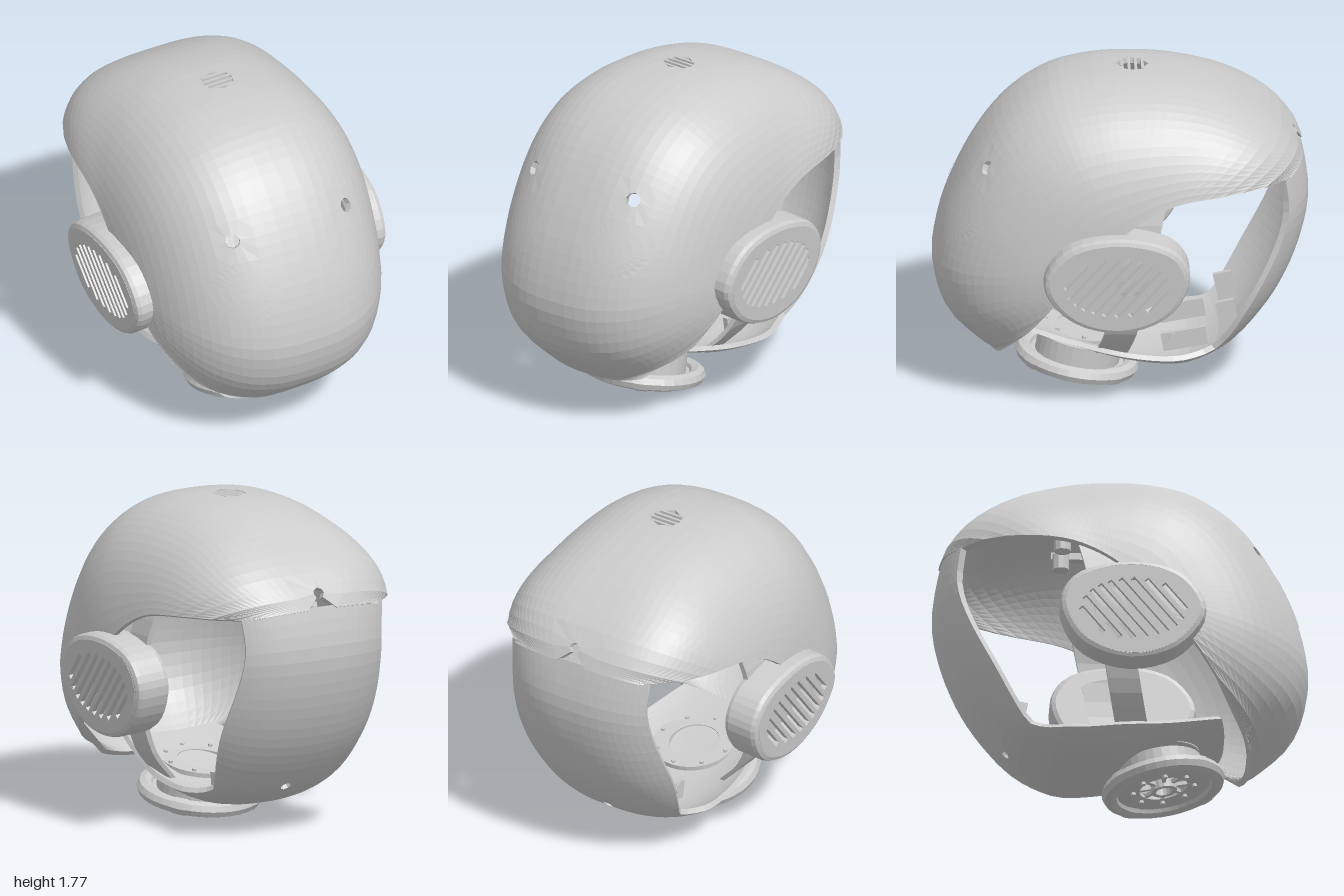
import * as THREE from 'three';

const MAT = new THREE.MeshStandardMaterial({ color: 0xcccccc, flatShading: true });
const CY = 0.9, W = 0.7; // centre height and half width of the head

function add(parent, name, geometry, x = 0, y = 0, z = 0) {
  const m = new THREE.Mesh(geometry, MAT);
  m.name = name;
  m.position.set(x, y, z);
  parent.add(m);
  return m;
}

// Turns a (z, y) outline into radius as a function of angle round the head centre
function polar(points, from) {
  const curve = new THREE.SplineCurve(points.map(([z, y]) => new THREE.Vector2(z, y - CY)));
  const table = curve.getPoints(300).map(p => {
    let a = Math.atan2(p.y, p.x);
    if (a < from) a += 2 * Math.PI;
    return [a, p.length()];
  }).sort((a, b) => a[0] - b[0]);
  return t => {
    let i = 1;
    while (i < table.length - 1 && table[i][0] < t) i++;
    const [a0, r0] = table[i - 1], [a1, r1] = table[i];
    return THREE.MathUtils.lerp(r0, r1, THREE.MathUtils.clamp((t - a0) / (a1 - a0 || 1), 0, 1));
  };
}

// Side outlines and the cut edges of the two shells
const faceR = polar([[0.69, 0.21], [0.92, 0.42], [1, 0.64], [0.99, 0.83], [0.92, 1.07], [0.785, 1.34], [0.62, 1.55],
  [0.41, 1.695], [0.195, 1.755], [-0.02, 1.77], [-0.29, 1.75], [-0.555, 1.67], [-0.8, 1.52], [-0.93, 1.38], [-0.975, 1.27]], -1);
const faceCut = polar([[0.69, 0.21], [0.38, 0.64], [0.18, 0.86], [-0.02, 1.08], [-0.26, 1.215], [-0.555, 1.26], [-0.9, 1.27]], -1);
const rearR = polar([[-0.96, 1.3], [-0.995, 1.07], [-0.96, 0.855], [-0.88, 0.64], [-0.77, 0.455], [-0.61, 0.27],
  [-0.45, 0.17], [-0.29, 0.13], [-0.02, 0.16], [0.25, 0.24], [0.57, 0.35]], 1);
const rearCut = polar([[-0.86, 1.275], [-0.88, 1.07], [-0.82, 0.855], [-0.69, 0.59], [-0.53, 0.32], [-0.42, 0.25],
  [-0.23, 0.235], [-0.02, 0.255], [0.25, 0.3], [0.54, 0.37]], 1);

// Superellipse cross-section: squarer towards the upper back
const power = t => 2.55 + 0.65 * Math.exp(-(((t - 2.5) / 0.33) ** 2));
const place = (R, t, x, c) => new THREE.Vector3(x, CY + R(t) * Math.sin(t) * c, R(t) * Math.cos(t) * c);
function surface(R, t, x) {
  const n = power(t);
  return place(R, t, x, (1 - Math.abs(x / W) ** n) ** (1 / n));
}
function frontPoint(x, y) {
  let lo = -0.7, hi = 1.5;
  for (let i = 0; i < 30; i++) {
    const mid = (lo + hi) / 2;
    if (surface(faceR, mid, x).y < y) lo = mid; else hi = mid;
  }
  return surface(faceR, lo, x);
}

// A thick shell with round holes; walls close every open edge
function shell(R, cut, t0, t1, nt, nx, holes) {
  const grid = [], id = (i, j) => i * (nx + 1) + j, skip = new Set(), tris = [];
  for (let i = 0; i <= nt; i++) {
    const t = t0 + (t1 - t0) * i / nt, n = power(t);
    const max = Math.acos(Math.min(0.999, cut(t) / R(t)) ** (n / 2));
    for (let j = 0; j <= nx; j++) {
      const f = max * (2 * j / nx - 1), s = Math.sin(f);
      grid.push(place(R, t, W * Math.sign(s) * Math.abs(s) ** (2 / n), Math.cos(f) ** (2 / n)));
    }
  }
  for (const [p, r] of holes) {
    let best = id(1, 1);
    for (let i = 1; i < nt; i++) for (let j = 1; j < nx; j++)
      if (grid[id(i, j)].distanceTo(p) < grid[best].distanceTo(p)) best = id(i, j);
    const c = grid[best].clone();
    for (const di of [-1, 0, 1]) for (const dj of [-1, 0, 1]) {
      const k = best + id(di, dj);
      if (k !== best) grid[k].sub(c).setLength(r).add(p);
      if (di < 1 && dj < 1) skip.add(k);
    }
  }
  for (let i = 0; i < nt; i++) for (let j = 0; j < nx; j++) {
    const a = id(i, j), b = a + 1, c = id(i + 1, j), d = c + 1;
    if (!skip.has(a)) tris.push([a, b, c], [b, d, c]);
  }
  const N = grid.length, index = [], edges = new Set();
  for (const [a, b, c] of tris) {
    index.push(a, b, c, a + N, c + N, b + N);
    for (const e of [[a, b], [b, c], [c, a]]) edges.add(e.join());
  }
  for (const e of edges) {
    const [p, q] = e.split(',').map(Number);
    if (!edges.has(q + ',' + p)) index.push(q, p, p + N, q, p + N, q + N);
  }
  const mid = new THREE.Vector3(0, CY, 0);
  const inner = grid.map(p => p.clone().sub(mid).multiplyScalar(0.965).add(mid));
  const g = new THREE.BufferGeometry().setFromPoints([...grid, ...inner]);
  g.setIndex(index);
  g.computeVertexNormals();
  return g;
}

// Flush round eye lens following the face
function eye(cx, cy) {
  const pts = [frontPoint(cx, cy)], index = [], rings = 4, n = 28;
  for (let k = 1; k <= rings; k++) for (let i = 0; i < n; i++) {
    const a = i / n * 2 * Math.PI, r = k / rings;
    pts.push(frontPoint(cx + 0.172 * r * Math.cos(a), cy + 0.15 * r * Math.sin(a)));
    const p = 1 + (k - 1) * n + i, q = 1 + (k - 1) * n + (i + 1) % n;
    if (k === 1) index.push(0, p, q);
    else index.push(p - n, p, q, p - n, q, q - n);
  }
  pts.forEach(p => { p.z += 0.005; });
  const g = new THREE.BufferGeometry().setFromPoints(pts);
  g.setIndex(index);
  g.computeVertexNormals();
  return g;
}

// Annulus with a vertical axis
const ring = (r0, r1, y0, y1, n = 32) => new THREE.LatheGeometry(
  [[r0, y0], [r1, y0], [r1, y1], [r0, y1], [r0, y0]].map(p => new THREE.Vector2(...p)), n);

// Ear pod: hollow egg-shaped case with a slotted cover, leaning out at the top
const EGG = [[0.39, 0.01], [0.265, 0.21], [-0.01, 0.275], [-0.305, 0.2], [-0.39, 0.04], [-0.28, -0.185], [-0.015, -0.28], [0.255, -0.2]];
function ear(side) {
  const g = new THREE.Group();
  g.name = side > 0 ? 'leftEarPod' : 'rightEarPod';
  g.position.set(side * 0.585, 0.8, 0.045);
  g.rotation.set(0, side * Math.PI / 2, -side * 0.075, 'ZYX');
  const egg = new THREE.CatmullRomCurve3(EGG.map(([z, y]) => new THREE.Vector3(-side * z, y, 0)), true).getPoints(36).slice(0, -1);
  const outline = k => egg.map(p => new THREE.Vector2(p.x * k, p.y * k));
  const rim = new THREE.Shape(outline(1));
  rim.holes.push(new THREE.Path(outline(0.8)));
  add(g, 'earCase', new THREE.ExtrudeGeometry(rim, { depth: 0.145, bevelThickness: 0.03, bevelSize: 0.03, bevelOffset: -0.03, bevelSegments: 2 }));
  const cover = new THREE.Shape(outline(0.9));
  const d = [-0.65, 0.76], e = [0.76, 0.65], a = 0.28, b = 0.17;
  for (let k = -4; k <= 4; k++) {
    // slot length is the chord of an ellipse
    const o = k * 0.053, A = (d[0] / a) ** 2 + (d[1] / b) ** 2;
    const B = o * (e[0] * d[0] / a ** 2 + e[1] * d[1] / b ** 2);
    const C = o * o * ((e[0] / a) ** 2 + (e[1] / b) ** 2) - 1;
    const h = Math.sqrt(Math.max(0, B * B - A * C));
    const corner = (s, w) => new THREE.Vector2(-side * (e[0] * (o + w) + d[0] * s), e[1] * (o + w) + d[1] * s);
    const s0 = (-B - h) / A, s1 = (-B + h) / A;
    cover.holes.push(new THREE.Path([corner(s0, -0.014), corner(s1, -0.014), corner(s1, 0.014), corner(s0, 0.014)]));
  }
  add(g, 'slottedCover', new THREE.ExtrudeGeometry(cover, { depth: 0.03, bevelEnabled: false }), 0, 0, 0.147);
  add(g, 'earBackPlate', new THREE.ExtrudeGeometry(new THREE.Shape(outline(0.85)), { depth: 0.02, bevelEnabled: false }));
  return g;
}

// Curved strap carrying the ear pod
function strap(side) {
  const path = new THREE.CatmullRomCurve3([[0.33, 0.25, 0.06], [0.47, 0.4, 0.02], [0.56, 0.6, -0.02], [0.6, 0.8, -0.06], [0.59, 1.1, -0.12], [0.52, 1.32, -0.17]]
    .map(([x, y, z]) => new THREE.Vector3(side * x, y, z)));
  const g = new THREE.BoxGeometry(0.03, 1, 0.17, 1, 14, 1), p = g.attributes.position;
  for (let i = 0; i < p.count; i++) {
    const c = path.getPoint(p.getY(i) + 0.5);
    p.setXYZ(i, c.x + p.getX(i), c.y, c.z + p.getZ(i));
  }
  g.computeVertexNormals();
  return g;
}

// Neck: rounded ring, collar, spoked hub and inner flange
function neck() {
  const g = new THREE.Group();
  g.name = 'neck';
  g.position.set(0, 0.098, 0.235);
  g.rotation.x = -0.178;
  add(g, 'neckRing', new THREE.TorusGeometry(0.289, 0.044, 8, 36).rotateX(Math.PI / 2));
  add(g, 'collar', ring(0.19, 0.228, -0.01, 0.13));
  add(g, 'ringPlate', ring(0.13, 0.27, -0.012, 0.012));
  add(g, 'hub', ring(0.045, 0.07, -0.03, 0.08, 16));
  add(g, 'innerFlange', ring(0.14, 0.225, 0.155, 0.18));
  add(g, 'flangeTube', ring(0.135, 0.15, 0.02, 0.18));
  for (let i = 0; i < 8; i++) {
    const a = i * Math.PI / 4, s = Math.sin(a), c = Math.cos(a);
    add(g, 'spoke', new THREE.BoxGeometry(0.09, 0.02, 0.02), 0.1 * c, 0, 0.1 * s).rotation.y = -a;
    add(g, 'hubBolt', new THREE.CylinderGeometry(0.014, 0.014, 0.02, 6), 0.165 * c, -0.018, 0.165 * s);
    add(g, 'flangeBolt', new THREE.CylinderGeometry(0.012, 0.012, 0.016, 6), 0.2 * c, 0.185, 0.2 * s);
    if (i % 2) add(g, 'ringClip', new THREE.TorusGeometry(0.289, 0.048, 8, 4, 0.24).rotateX(Math.PI / 2)).rotation.y = a;
  }
  return g;
}

export function createModel() {
  const model = new THREE.Group();
  model.name = 'robotHead';

  // Main shells
  const vent = surface(faceR, Math.atan2(0.87, -0.06), 0);
  const faceHoles = [[frontPoint(0.345, 1.32), 0.04], [frontPoint(-0.345, 1.32), 0.04],
    [surface(faceR, Math.atan2(0.48, -0.93), 0), 0.032], [vent, 0.086]];
  add(model, 'faceShell', shell(faceR, faceCut, -0.773, 2.75, 52, 36, faceHoles));
  const rearHole = surface(rearR, Math.atan2(-0.63, -0.61) + 2 * Math.PI, 0);
  add(model, 'rearShell', shell(rearR, rearCut, 2.735, 5.5, 40, 20, [[rearHole, 0.03]]));

  // Slats of the round top vent
  for (const k of [-1.5, -0.5, 0.5, 1.5])
    add(model, 'ventSlat', new THREE.BoxGeometry(2 * Math.sqrt(0.0074 - (k * 0.036) ** 2), 0.025, 0.015), 0, vent.y - 0.015, vent.z + k * 0.036);

  for (const side of [-1, 1]) {
    add(model, 'eyeLens', eye(side * 0.33, 1.06));
    model.add(ear(side));
    add(model, 'earStrap', strap(side));
    // Mounting brackets on the floor of the rear shell
    add(model, 'floorBracket', new THREE.BoxGeometry(0.03, 0.1, 0.24), side * 0.2, 0.27, -0.33).rotation.x = 0.17;
    add(model, 'bracketBolt', new THREE.CylinderGeometry(0.027, 0.027, 0.05, 6).rotateZ(Math.PI / 2), side * 0.2, 0.28, -0.27);
    add(model, 'rearBracket', new THREE.BoxGeometry(0.03, 0.17, 0.1), side * 0.2, 0.4, -0.56).rotation.x = 0.2;
  }
  model.add(neck());

  // Frame with hanging drums under the roof
  const frame = new THREE.Group();
  frame.name = 'roofFrame';
  for (const z of [-0.3, -0.1, 0.1]) {
    add(frame, 'crossBar', new THREE.BoxGeometry(0.7, 0.03, 0.05), 0, 1.56, z);
    for (const x of [-0.24, 0, 0.24]) add(frame, 'drum', new THREE.CylinderGeometry(0.045, 0.045, 0.09, 10), x, 1.51, z);
  }
  for (const x of [-0.3, 0.3]) add(frame, 'rail', new THREE.BoxGeometry(0.04, 0.04, 0.5), x, 1.57, -0.1);
  model.add(frame);
  return model;
}
